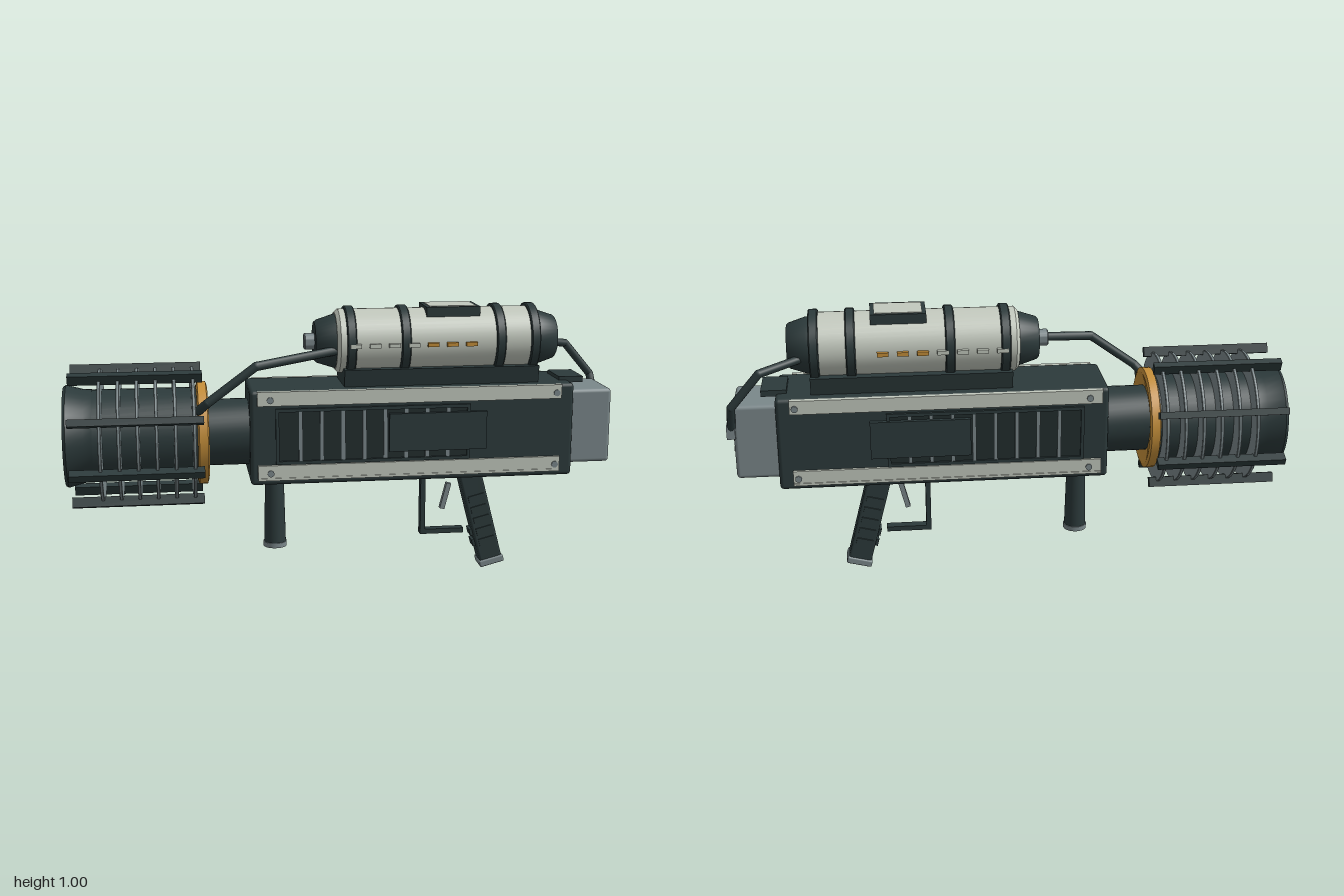
import * as THREE from 'three';
import { RoundedBoxGeometry } from 'three/addons/geometries/RoundedBoxGeometry.js';
import { toCreasedNormals } from 'three/addons/utils/BufferGeometryUtils.js';

const mat = (name, color) => {
  const m = new THREE.MeshStandardMaterial({ color });
  m.name = name;
  return m;
};

export function createModel() {
  const dark = mat('dark teal', 0x2c3a3b);
  const black = mat('deep shadow teal', 0x222d2e);
  const pale = mat('pale enamel', 0xc3c9be);
  const grey = mat('steel grey', 0x7b888b);
  const orange = mat('amber', 0xc58f3a);

  const model = new THREE.Group();
  const add = (name, geo, material, x = 0, y = 0, z = 0, parent = model) => {
    const m = new THREE.Mesh(geo, material);
    m.name = name;
    m.position.set(x, y, z);
    parent.add(m);
    return m;
  };
  const group = (name, x = 0, y = 0, z = 0) => {
    const g = new THREE.Group();
    g.name = name;
    g.position.set(x, y, z);
    model.add(g);
    return g;
  };
  const box = (w, h, d) => new THREE.BoxGeometry(w, h, d);
  const rbox = (w, h, d, r) => new RoundedBoxGeometry(w, h, d, 2, r);
  // Turned part along x from [radius, x] points, listed from -x to +x
  const turned = (pts, seg = 40) => toCreasedNormals(
    new THREE.LatheGeometry(pts.map(p => new THREE.Vector2(...p)), seg).rotateZ(-Math.PI / 2), 0.5);
  const drum = (r, x0, x1, b = 0.004) => turned(
    [[0, x0], [r - b, x0], [r, x0 + b], [r, x1 - b], [r - b, x1], [0, x1]]);
  // Bent pipe from straight runs and ball joints
  const pipe = (name, pts, r) => {
    const g = group(name);
    const v = pts.map(p => new THREE.Vector3(...p));
    v.forEach((p, i) => {
      add(name + 'Joint', new THREE.SphereGeometry(r, 12, 8), dark, p.x, p.y, p.z, g);
      if (!i) return;
      const d = p.clone().sub(v[i - 1]);
      const c = p.clone().add(v[i - 1]).multiplyScalar(0.5);
      add(name + 'Run', new THREE.CylinderGeometry(r, r, d.length(), 12), dark, c.x, c.y, c.z, g)
        .quaternion.setFromUnitVectors(new THREE.Vector3(0, 1, 0), d.normalize());
    });
  };

  // Barrel with cooling fins, rods and muzzle
  const barrel = group('barrel', 0, 0.547, 0);
  add('barrelCore', drum(0.165, -0.93, -0.51), dark, 0, 0, 0, barrel);
  add('muzzle', turned([[0.115, -0.98], [0.12, -1], [0.178, -1], [0.183, -0.99], [0.167, -0.93], [0.167, -0.9]]),
    dark, 0, 0, 0, barrel);
  add('muzzlePlate', drum(0.118, -0.985, -0.95), grey, 0, 0, 0, barrel);
  add('muzzleBore', drum(0.045, -0.988, -0.95, 0.001), black, 0, 0, 0, barrel);
  for (let i = 0; i < 6; i++) {
    const x = -0.872 + i * 0.065;
    add('coolingFin', drum(0.238, x - 0.006, x + 0.006, 0.002), grey, 0, 0, 0, barrel);
  }
  for (let i = 0; i < 8; i++) {
    const a = Math.PI / 8 + i * Math.PI / 4;
    add('barrelRod', box(0.465, 0.036, 0.025), dark, -0.747, 0.24 * Math.sin(a), 0.24 * Math.cos(a), barrel)
      .rotation.x = Math.PI / 2 - a;
  }
  add('amberRing', turned([[0.15, -0.53], [0.17, -0.535], [0.185, -0.53], [0.185, -0.5], [0.17, -0.495],
    [0.15, -0.5], [0.12, -0.505]]), orange, 0, 0, 0, barrel);
  add('neck', drum(0.12, -0.52, -0.33), dark, 0, 0, 0, barrel);

  // Main housing
  add('housing', rbox(1.175, 0.342, 0.272, 0.014), dark, 0.237, 0.547, 0);
  add('rearBlock', rbox(0.17, 0.275, 0.22, 0.014), grey, 0.89, 0.552, 0);
  [[0.585, orange], [0.545, pale], [0.505, pale]].forEach(([y, m]) =>
    add('rearStripe', box(0.008, 0.018, 0.098), m, 0.978, y, 0));
  add('rearTopPlate', box(0.09, 0.022, 0.145), dark, 0.83, 0.72, 0);

  // Side rails, vents and cover plates, mirrored
  for (const s of [1, -1]) {
    for (const [y, lip] of [[0.69, 0.712], [0.425, 0.4]]) {
      add('sideRail', box(1.1, 0.05, 0.014), pale, 0.225, y, s * 0.139);
      add('railLip', box(1.1, 0.009, 0.018), pale, 0.225, lip, s * 0.14);
      for (const x of [-0.28, 0.757])
        add('railBolt', new THREE.CylinderGeometry(0.012, 0.012, 0.008, 12).rotateX(Math.PI / 2),
          grey, x, y - 0.004, s * 0.147);
    }
    add('ventPanel', box(0.69, 0.195, 0.004), black, 0.09, 0.553, s * 0.136);
    for (const y of [0.648, 0.458])
      add('ventFrame', box(0.7, 0.012, 0.012), dark, 0.09, y, s * 0.14);
    for (const x of [-0.255, 0.435])
      add('ventFrame', box(0.012, 0.2, 0.012), dark, x, 0.553, s * 0.14);
    for (let i = 0; i < 8; i++)
      add('ventSlat', box(0.013, 0.178, 0.008), grey, -0.172 + i * 0.076, 0.553, s * 0.139);
    add('coverPlate', box(0.355, 0.138, 0.018), dark, 0.322, 0.558, s * 0.144);
  }

  // Saddle under the tank, widening upward
  const saddle = new THREE.Shape([[-0.095, 0.71], [0.095, 0.71], [0.107, 0.78], [-0.107, 0.78]]
    .map(p => new THREE.Vector2(...p)));
  add('tankSaddle', new THREE.ExtrudeGeometry(saddle, { depth: 0.71, bevelEnabled: false })
    .rotateY(Math.PI / 2), dark, -0.01, 0, 0);

  // Tank with bands and end caps
  const tank = group('tank', 0, 0.87, 0);
  add('tankBody', drum(0.115, -0.035, 0.7, 0.012), pale, 0, 0, 0, tank);
  for (const x of [0.015, 0.21, 0.555, 0.682])
    add('tankBand', drum(0.126, x - 0.017, x + 0.017), dark, 0, 0, 0, tank);
  add('frontCap', turned([[0, -0.108], [0.07, -0.108], [0.077, -0.1], [0.098, -0.035], [0.098, -0.02]]),
    dark, 0, 0, 0, tank);
  add('frontNozzle', drum(0.03, -0.145, -0.1), grey, 0, 0, 0, tank);
  add('rearCap', turned([[0.1, 0.68], [0.1, 0.71], [0.08, 0.77], [0.074, 0.776], [0, 0.776]]),
    dark, 0, 0, 0, tank);
  add('hatchFrame', box(0.195, 0.035, 0.146), dark, 0.387, 0.107, 0, tank);
  add('hatchPanel', box(0.168, 0.004, 0.12), pale, 0.387, 0.125, 0, tank);
  for (const s of [1, -1]) for (let i = 0; i < 7; i++)
    add('indicatorDash', box(0.04, 0.014, 0.02), i > 3 ? orange : pale,
      0.028 + i * 0.0695, -0.003, s * 0.12, tank);

  // Feed pipes
  pipe('frontPipe', [[-0.04, 0.847, 0.08], [-0.33, 0.813, 0.172], [-0.5, 0.69, 0.183], [-0.53, 0.66, 0.16]], 0.016);
  pipe('rearPipe', [[0.73, 0.845, -0.075], [0.87, 0.82, -0.145], [0.972, 0.7, -0.148], [0.982, 0.6, -0.1]], 0.015);
  add('pipeCollar', box(0.03, 0.05, 0.04), grey, 0.983, 0.595, -0.097);

  // Forward grip
  add('foreGrip', new THREE.CylinderGeometry(0.034, 0.04, 0.26, 24), dark, -0.256, 0.255, 0);
  add('foreGripCap', new THREE.CylinderGeometry(0.043, 0.043, 0.018, 24), grey, -0.256, 0.12, 0);

  // Trigger and guard
  add('guardPost', box(0.018, 0.245, 0.035), dark, 0.296, 0.26, 0);
  add('guardBar', box(0.165, 0.018, 0.035), dark, 0.369, 0.144, 0);
  add('trigger', box(0.018, 0.1, 0.022), grey, 0.383, 0.277, 0).rotation.z = -0.25;

  // Slanted rear grip with ribs
  const grip = group('rearGrip', 0.513, 0.2, 0);
  grip.rotation.z = 0.253;
  add('gripBody', rbox(0.085, 0.4, 0.076, 0.008), dark, 0, 0.02, 0, grip);
  add('gripCap', rbox(0.094, 0.026, 0.088, 0.006), grey, 0, -0.181, 0, grip);
  for (let i = 0; i < 5; i++) {
    const y = 0.075 - i * 0.043;
    add('gripRib', box(0.06, 0.026, 0.086), dark, 0, y, 0, grip);
    if (i > 2) add('fingerRib', box(0.016, 0.026, 0.05), dark, -0.045, y, 0, grip);
  }
  return model;
}
